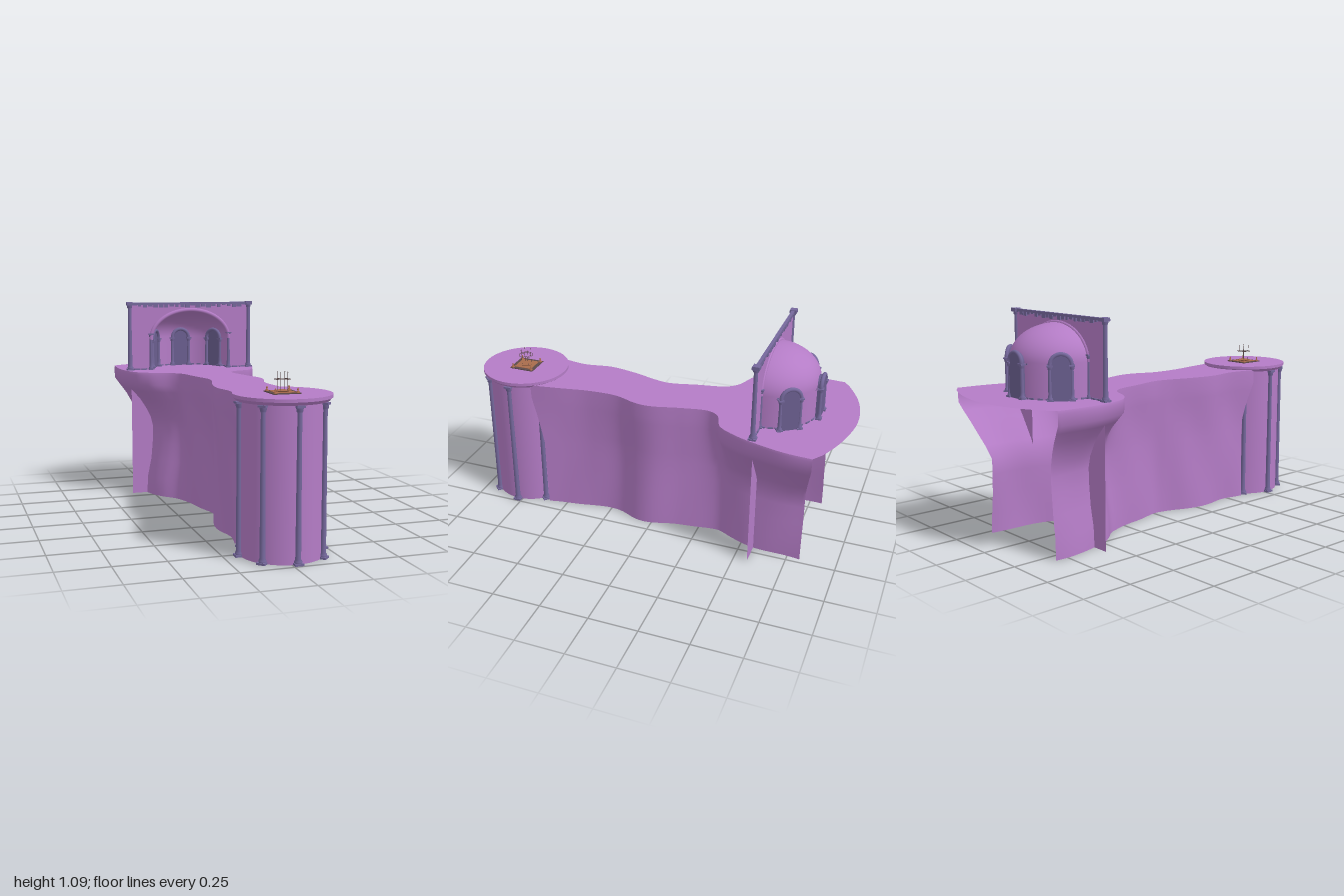
import * as THREE from 'three';

const mat = (color, side = THREE.FrontSide) => new THREE.MeshStandardMaterial({ color, side });
const stone = mat(0xb47cc6, THREE.DoubleSide);
const trim = mat(0x75689c);
const panelMat = mat(0x6b5f90);
const gold = mat(0xa86c4c);
const iron = mat(0x5c4a4a);

const DECK = 0.71, WALL_Z = -0.57, APSE_X = -0.02, APSE_R = 0.23, SPRING = 0.88, RISE = 0.165;

function add(parent, name, geometry, material, x = 0, y = 0, z = 0) {
  const m = new THREE.Mesh(geometry, material);
  m.name = name;
  m.position.set(x, y, z);
  parent.add(m);
  return m;
}
const box = (w, h, d) => new THREE.BoxGeometry(w, h, d);
const v2 = (x, y) => new THREE.Vector2(x, y);

// Tapered column with square plinth and capital, standing on its origin
function column(name, h, r) {
  const g = new THREE.Group();
  g.name = name;
  const b = r * 0.8;
  const profile = [v2(r * 1.4, b), v2(r * 1.45, b * 1.8), v2(r * 1.05, b * 2.6), v2(r, h * 0.2),
    v2(r * 0.85, h - b * 3.2), v2(r * 1.15, h - b * 2.6), v2(r * 1.35, h - b)];
  add(g, 'shaft', new THREE.LatheGeometry(profile, 14), trim);
  add(g, 'plinth', box(r * 3.3, b, r * 3.3), trim, 0, b / 2, 0);
  add(g, 'capital', box(r * 3, b, r * 3), trim, 0, h - b / 2, 0);
  return g;
}

// Cliff side: a sheet leaving its waist line for the deck rim above and the foot line below.
// Each entry is height, pull towards the rim, pull towards the foot.
const flare = [[DECK, 0.97, 0], [0.695, 1, 0], [0.64, 0.98, 0], [0.6, 0.76, 0], [0.55, 0.48, 0], [0.5, 0.27, 0],
  [0.44, 0.08, 0], [0.38, 0, 0], [0.3, 0, 0.1], [0.2, 0, 0.35], [0.1, 0, 0.85], [0, 0, 1]];
const curveOf = (rows, a, b) =>
  new THREE.CatmullRomCurve3(rows.map(r => new THREE.Vector3(r[a], 0, r[b])));

function cliffSide(rows, sharpness) {
  const n = 90;
  const top = curveOf(rows, 0, 1).getPoints(n), waist = curveOf(rows, 2, 3).getPoints(n);
  const foot = curveOf(rows, 4, 3).getPoints(n);
  const pos = [], idx = [], w = flare.length;
  for (let i = 0; i <= n; i++) {
    for (let j = 0; j < w; j++) {
      const [y, up, down] = flare[j];
      const p = waist[i].clone().lerp(top[i], up ** sharpness).lerp(foot[i], down);
      // Gentle ripples in the rock below the rim
      p.x += 0.005 * Math.sin(p.z * 19 + y * 7) * Math.min(1, (DECK - y) * 4);
      pos.push(p.x, y, p.z);
      if (i < n && j < w - 1) {
        const a = i * w + j;
        idx.push(a, a + 1, a + w, a + 1, a + w + 1, a + w);
      }
    }
  }
  const geo = new THREE.BufferGeometry();
  geo.setAttribute('position', new THREE.Float32BufferAttribute(pos, 3));
  geo.setIndex(idx);
  geo.computeVertexNormals();
  return { geo, top };
}

// Rows hold: rim x, rim z, waist x, waist z, foot x
const plusRows = [[0.2, 0.66, 0.193, 0.6, 0.193], [0.175, 0.5, 0.165, 0.48, 0.165], [0.15, 0.35, 0.14, 0.34, 0.14],
  [0.15, 0.2, 0.135, 0.2, 0.14], [0.19, 0.08, 0.175, 0.08, 0.18], [0.195, 0, 0.18, 0, 0.185],
  [0.16, -0.15, 0.145, -0.15, 0.15], [0.14, -0.29, 0.12, -0.3, 0.125], [0.17, -0.345, 0.125, -0.36, 0.13],
  [0.27, -0.39, 0.16, -0.43, 0.165], [0.33, -0.49, 0.19, -0.52, 0.195], [0.37, -0.61, 0.2, -0.62, 0.21],
  [0.4, -0.74, 0.205, -0.73, 0.22], [0.41, -0.87, 0.205, -0.815, 0.225]];
const minusRows = [[-0.155, 0.66, -0.13, 0.6, -0.13], [-0.13, 0.5, -0.115, 0.48, -0.115], [-0.15, 0.35, -0.135, 0.34, -0.135],
  [-0.125, 0.2, -0.11, 0.2, -0.115], [-0.09, 0.08, -0.075, 0.08, -0.08], [-0.078, 0, -0.06, 0, -0.065],
  [-0.11, -0.15, -0.09, -0.15, -0.1], [-0.145, -0.3, -0.12, -0.31, -0.14], [-0.19, -0.35, -0.13, -0.37, -0.16],
  [-0.3, -0.4, -0.18, -0.44, -0.22], [-0.365, -0.46, -0.215, -0.51, -0.265], [-0.408, -0.6, -0.25, -0.61, -0.295],
  [-0.412, -0.72, -0.275, -0.71, -0.305], [-0.405, -0.86, -0.28, -0.815, -0.308]];

function cliff() {
  const g = new THREE.Group();
  g.name = 'cliff';
  const plus = cliffSide(plusRows, 0.65), minus = cliffSide(minusRows, 1);
  add(g, 'leftCliffSide', plus.geo, stone);
  add(g, 'rightCliffSide', minus.geo, stone);
  // Flat deck closing both rims, with a pointed rear edge
  const back = new THREE.CatmullRomCurve3([[0.41, -0.87], [0.35, -0.91], [0.2, -0.967], [0, -1], [-0.2, -0.97], [-0.35, -0.9], [-0.405, -0.86]]
    .map(([x, z]) => new THREE.Vector3(x, 0, z))).getPoints(30);
  const rim = [...plus.top, ...back.slice(1, -1), ...minus.top.slice().reverse()];
  const deck = new THREE.ShapeGeometry(new THREE.Shape(rim.map(p => v2(p.x, -p.z))));
  deck.rotateX(-Math.PI / 2);
  add(g, 'deck', deck, stone, 0, DECK, 0);
  return g;
}

// Round tower with eight columns and a disc on top
function tower() {
  const g = new THREE.Group();
  g.name = 'tower';
  add(g, 'towerBody', new THREE.CylinderGeometry(0.197, 0.197, 0.7, 64, 1, true), stone, 0, 0.35, 0);
  add(g, 'towerTop', new THREE.CylinderGeometry(0.225, 0.225, 0.015, 64), stone, 0, 0.7225, 0);
  add(g, 'towerRim', new THREE.CylinderGeometry(0.222, 0.21, 0.015, 64), stone, 0, 0.7075, 0);
  for (let i = 0; i < 8; i++) {
    const a = i * Math.PI / 4, c = column('towerColumn', 0.7, 0.0125);
    c.position.set(0.203 * Math.sin(a), 0, 0.203 * Math.cos(a));
    c.rotation.y = a;
    g.add(c);
  }
  return g;
}

// Small altar: tray, corner finials, bowl and a wire cage
function altar() {
  const g = new THREE.Group();
  g.name = 'altar';
  add(g, 'tray', box(0.13, 0.004, 0.13), iron, 0, 0.002, 0);
  add(g, 'trayInset', box(0.095, 0.002, 0.095), gold, 0, 0.005, 0);
  add(g, 'bowl', new THREE.CylinderGeometry(0.033, 0.028, 0.006, 24), gold, 0, 0.008, 0);
  const finial = new THREE.LatheGeometry([v2(0.009, 0), v2(0.008, 0.006), v2(0.003, 0.01), v2(0.004, 0.018), v2(0, 0.026)], 10);
  for (const x of [-1, 1]) for (const z of [-1, 1]) {
    add(g, 'finial', finial, gold, x * 0.053, 0.002, z * 0.053);
    add(g, 'cageRod', new THREE.CylinderGeometry(0.0009, 0.0009, 0.085, 6), iron, x * 0.018, 0.05, z * 0.018);
    add(g, 'rodTip', new THREE.SphereGeometry(0.0022, 8, 6), iron, x * 0.018, 0.092, z * 0.018);
  }
  for (const [r, y] of [[0.036, 0.06], [0.025, 0.06]])
    add(g, 'cageRing', new THREE.TorusGeometry(r, 0.0011, 6, 32), iron, 0, y, 0).rotation.x = Math.PI / 2;
  return g;
}

// Arched doorway, passing through the apse wall; +z looks into the apse
function door() {
  const g = new THREE.Group();
  g.name = 'door';
  const r = 0.046, s = 0.165;
  const shape = new THREE.Shape([v2(-r, 0), v2(r, 0), v2(r, s)]);
  shape.absarc(0, s, r, 0, Math.PI, false);
  add(g, 'doorPanel', new THREE.ExtrudeGeometry(shape, { depth: 0.036, bevelEnabled: false, curveSegments: 20 }), panelMat, 0, 0, -0.02);
  for (const z of [-0.014, 0.02]) {
    add(g, 'doorArch', new THREE.TorusGeometry(0.049, 0.01, 8, 24, Math.PI), trim, 0, s, z);
    for (const x of [-0.05, 0.05]) {
      const c = column('doorColumn', s, 0.009);
      c.position.set(x, 0, z);
      g.add(c);
    }
  }
  return g;
}

// Screen wall with arched opening, half-domed apse, doors and cornice
function shrine() {
  const g = new THREE.Group();
  g.name = 'shrine';
  const xl = APSE_X - APSE_R, xr = APSE_X + APSE_R;
  // The thin wall runs down to the ground on both sides of the opening
  const wall = new THREE.Shape([v2(xl, DECK), v2(-0.235, DECK), v2(-0.235, 0), v2(-0.365, 0), v2(-0.365, 1.08),
    v2(0.325, 1.08), v2(0.325, 0), v2(xr, 0), v2(xr, SPRING)]);
  wall.absellipse(APSE_X, SPRING, APSE_R, RISE, 0, Math.PI, false);
  add(g, 'screenWall', new THREE.ShapeGeometry(wall, 40), stone, 0, 0, WALL_Z);

  const profile = [v2(APSE_R, DECK), v2(APSE_R, SPRING - 0.05)];
  const arch = [];
  for (let i = 0; i <= 16; i++) {
    const a = i / 16 * Math.PI / 2;
    profile.push(v2(Math.max(APSE_R * Math.cos(a), 1e-4), SPRING + RISE * Math.sin(a)));
  }
  add(g, 'apse', new THREE.LatheGeometry(profile, 48, Math.PI / 2, Math.PI), stone, APSE_X, 0, WALL_Z);

  for (let i = 0; i <= 24; i++) {
    const a = i / 24 * Math.PI;
    arch.push(new THREE.Vector3(APSE_X + APSE_R * Math.cos(a), SPRING + RISE * Math.sin(a), WALL_Z + 0.004));
  }
  add(g, 'archMoulding', new THREE.TubeGeometry(new THREE.CatmullRomCurve3(arch), 60, 0.011, 8), stone);

  for (const [x, h, r] of [[xl, 0.205, 0.009], [xr, 0.205, 0.009], [-0.371, 0.375, 0.0115], [0.331, 0.375, 0.0115]]) {
    const c = column('wallColumn', h, r);
    c.position.set(x, DECK, WALL_Z + 0.002);
    g.add(c);
  }
  for (const a of [-0.98, 0, 0.98]) {
    const d = door();
    d.position.set(APSE_X - APSE_R * Math.sin(a), DECK, WALL_Z - APSE_R * Math.cos(a));
    d.rotation.y = a;
    g.add(d);
  }
  // Ragged masonry along the top
  add(g, 'cornice', box(0.72, 0.012, 0.016), trim, -0.02, 1.082, WALL_Z);
  for (const x of [-0.371, 0.331]) add(g, 'cornerBlock', box(0.034, 0.018, 0.034), trim, x, 1.082, WALL_Z);
  let seed = 7;
  const rand = () => (seed = (seed * 16807) % 2147483647) / 2147483647;
  for (let i = 0; i < 22; i++) {
    const h = 0.006 + rand() * 0.016;
    add(g, 'brick', box(0.014 + rand() * 0.016, h, 0.014), trim, -0.345 + i * 0.031, 1.078 - h / 2, WALL_Z);
  }
  // Loose stones at the foot of the wall and apse
  for (let i = 0; i < 18; i++) {
    const a = Math.PI * (i + rand() * 0.5) / 18;
    add(g, 'footStone', box(0.025, 0.01, 0.008), trim, APSE_X + APSE_R * Math.cos(a), DECK + 0.003, WALL_Z - APSE_R * Math.sin(a)).rotation.y = a + Math.PI / 2;
  }
  for (const x of [-0.33, -0.29, 0.25, 0.29]) add(g, 'footStone', box(0.032, 0.01, 0.012), trim, x, DECK + 0.003, WALL_Z);
  return g;
}

export function createModel() {
  const model = new THREE.Group();
  model.name = 'cliffShrine';
  const t = tower(), a = altar();
  t.position.set(0.025, 0, 0.773);
  a.position.set(0.025, 0.73, 0.77);
  model.add(cliff(), t, a, shrine());
  return model;
}
